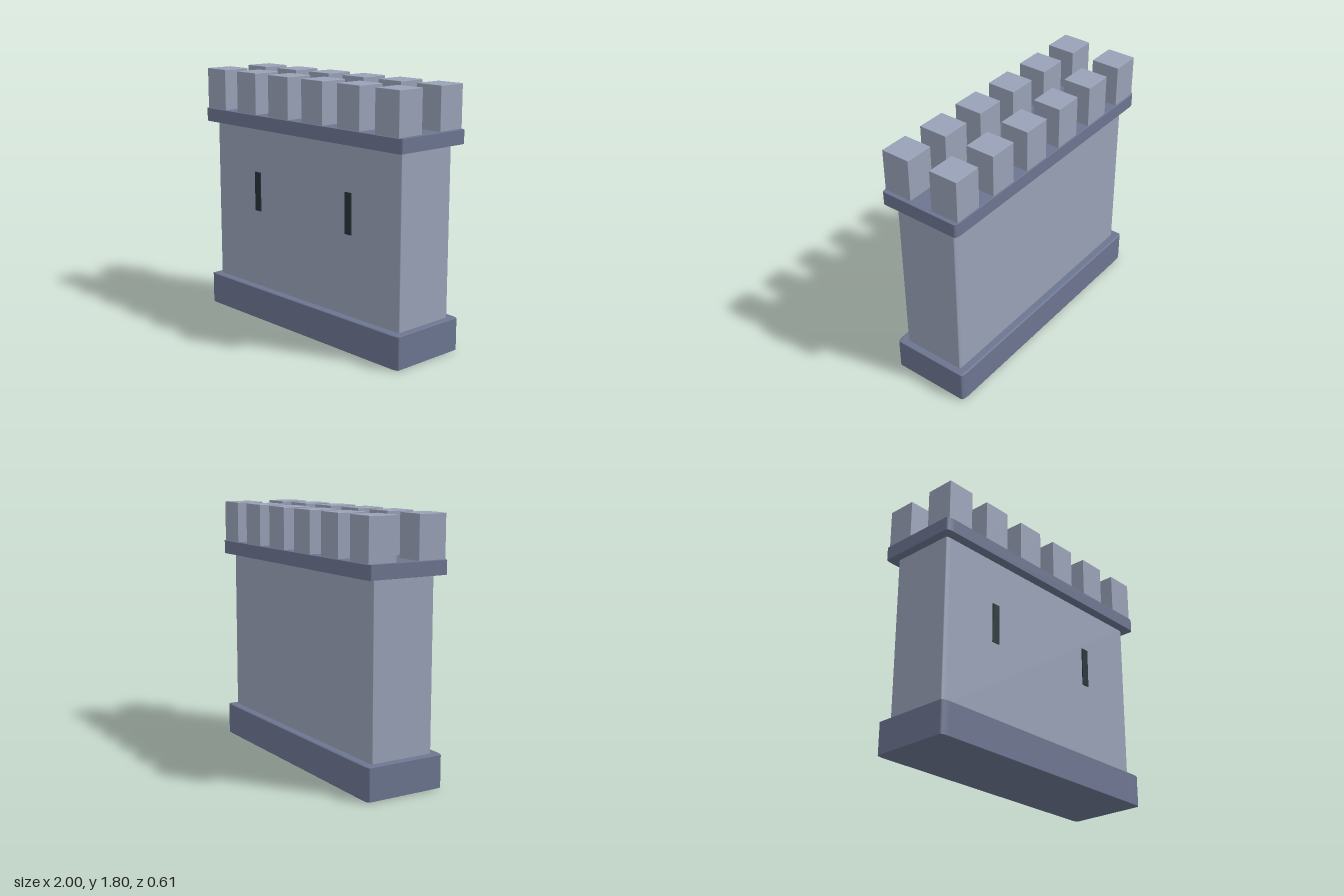
import * as THREE from 'three';
import { RoundedBoxGeometry } from 'three/addons/geometries/RoundedBoxGeometry.js';

export function createModel() {
  const model = new THREE.Group();
  model.name = 'castleWall';

  const stone = new THREE.MeshStandardMaterial({ color: 0x98a1b6 });
  const trim = new THREE.MeshStandardMaterial({ color: 0x6c7590 });
  const dark = new THREE.MeshStandardMaterial({ color: 0x263238 });

  // Box given by its size, centre x and z, and bottom y; the bevel stretches with the size
  function block(name, material, [w, h, d], [x, y, z], bevel = 0) {
    const geometry = bevel
      ? new RoundedBoxGeometry(1, 1, 1, 3, bevel)
      : new THREE.BoxGeometry(1, 1, 1);
    geometry.scale(w, h, d);
    const mesh = new THREE.Mesh(geometry, material);
    mesh.name = name;
    mesh.position.set(x, y + h / 2, z);
    model.add(mesh);
  }

  // Plinth, wall and walkway
  block('base', trim, [1.975, 0.235, 0.585], [0, 0, 0], 0.03);
  block('wall', stone, [1.88, 1.22, 0.47], [0, 0.21, 0], 0.02);
  block('walkway', trim, [2, 0.1, 0.605], [0, 1.41, 0], 0.03);

  // Arrow slits on the front face
  for (const x of [-0.473, 0.468]) block('arrowSlit', dark, [0.06, 0.285, 0.02], [x, 0.8, 0.232]);

  // Two rows of six merlons
  for (const z of [-0.19, 0.188]) {
    for (let i = 0; i < 6; i++) {
      block('merlon', stone, [0.208, 0.31, 0.208], [-0.003 + (i - 2.5) * 0.348, 1.493, z], 0.012);
    }
  }

  return model;
}
